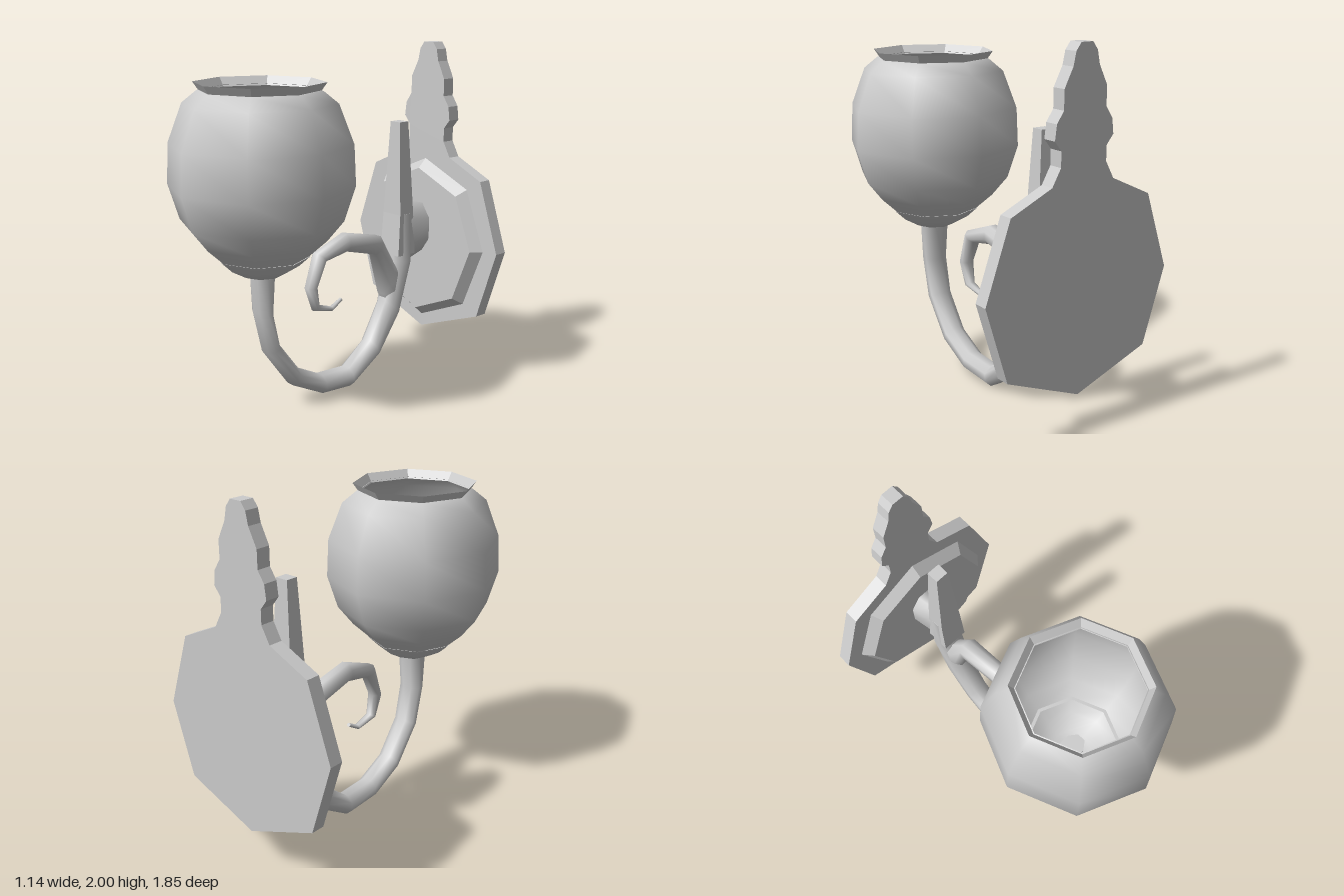
import * as THREE from 'three';

const smooth = new THREE.MeshStandardMaterial({ color: 0xcccccc, side: THREE.DoubleSide });
const flat = new THREE.MeshStandardMaterial({ color: 0xcccccc, side: THREE.DoubleSide, flatShading: true });

// Lofted bar in the z-y plane. Each row: outer z, y, inner z, y, half width in x.
function loft(rows, sides) {
  const pos = [], idx = [], k = 1 / Math.cos(Math.PI / sides);
  const ring = ([oz, oy, iz, iy, w]) => {
    const start = pos.length / 3;
    for (let i = 0; i < sides; i++) {
      const t = ((i + 0.5) * 2 * Math.PI) / sides;
      const c = (Math.cos(t) * k) / 2, s = Math.sin(t) * k;
      pos.push(w * s, (oy + iy) / 2 + (oy - iy) * c, (oz + iz) / 2 + (oz - iz) * c);
    }
    return start;
  };
  const rings = rows.map(ring);
  for (let r = 0; r < rings.length - 1; r++) {
    for (let i = 0; i < sides; i++) {
      const j = (i + 1) % sides, a = rings[r], b = rings[r + 1];
      idx.push(a + i, b + i, b + j, a + i, b + j, a + j);
    }
  }
  // End caps with their own vertices so their edges stay sharp
  const first = ring(rows[0]), last = ring(rows[rows.length - 1]);
  for (let i = 1; i < sides - 1; i++) {
    idx.push(first, first + i, first + i + 1, last, last + i + 1, last + i);
  }
  const g = new THREE.BufferGeometry();
  g.setAttribute('position', new THREE.Float32BufferAttribute(pos, 3));
  g.setIndex(idx);
  g.computeVertexNormals();
  return g;
}

export function createModel() {
  const group = new THREE.Group();
  const add = (name, geometry, material = smooth) => {
    const mesh = new THREE.Mesh(geometry, material);
    mesh.name = name;
    group.add(mesh);
    return mesh;
  };
  const lathe = (name, profile, material) => {
    const pts = profile.map(([r, y]) => new THREE.Vector2(r, y));
    add(name, new THREE.LatheGeometry(pts, 8), material).position.z = 0.43;
  };

  // Eight-sided glass globe, its flared rim and the cup that holds it
  lathe('globe', [[0.26, 0.93], [0.35, 1.01], [0.44, 1.12], [0.5, 1.31], [0.49, 1.53], [0.41, 1.74], [0.33, 1.805], [0.315, 1.81]]);
  lathe('globeRim', [[0.315, 1.80], [0.35, 1.85]], flat);
  lathe('cup', [[0, 0.82], [0.11, 0.82], [0.2, 0.87], [0.26, 0.925]]);
  lathe('cupLip', [[0.255, 0.925], [0.27, 0.94], [0.25, 0.94]], flat);

  // Arm swooping down from the cup and back up to the stem
  add('arm', loft([
    [0.492, 0.85, 0.37, 0.85, 0.08],
    [0.475, 0.61, 0.39, 0.6, 0.07],
    [0.42, 0.37, 0.34, 0.4, 0.067],
    [0.24, 0.13, 0.2, 0.22, 0.065],
    [0.02, 0.02, 0.02, 0.13, 0.065],
    [-0.2, 0.005, -0.19, 0.12, 0.065],
    [-0.42, 0.14, -0.36, 0.25, 0.067],
    [-0.59, 0.37, -0.48, 0.47, 0.072],
    [-0.685, 0.71, -0.54, 0.71, 0.08],
    [-0.665, 1.0, -0.555, 1.0, 0.072],
  ], 8));

  // Tapered square spike above the arm
  add('finial', loft([
    [-0.68, 0.75, -0.54, 0.75, 0.076],
    [-0.665, 1.0, -0.555, 1.0, 0.07],
    [-0.64, 1.55, -0.57, 1.55, 0.038],
  ], 4), flat);

  // Scroll curling forward from the stem
  add('scroll', loft([
    [-0.62, 0.7, -0.53, 0.42, 0.065],
    [-0.54, 0.72, -0.47, 0.52, 0.065],
    [-0.44, 0.885, -0.4, 0.78, 0.06],
    [-0.17, 0.945, -0.17, 0.84, 0.055],
    [0.05, 0.865, -0.01, 0.81, 0.047],
    [0.12, 0.67, 0.05, 0.67, 0.037],
    [0.07, 0.53, 0.03, 0.555, 0.027],
    [-0.07, 0.5, -0.07, 0.525, 0.018],
    [-0.15, 0.545, -0.14, 0.562, 0.012],
  ].map(([oz, oy, iz, iy, w]) => [oz, oy, iz, iy, w]), 8));

  // Boss joining the stem to the wall plate
  add('boss', loft([
    [-0.8, 1.035, -0.8, 0.75, 0.1],
    [-0.66, 1.07, -0.69, 0.71, 0.075],
    [-0.6, 1.03, -0.61, 0.72, 0.06],
  ], 8));

  // Wall plate: octagon with a stepped, narrowing crest, mirrored left to right
  const half = [[0.44, 0.4], [0.57, 0.81], [0.43, 1.22], [0.19, 1.33], [0.14, 1.42], [0.14, 1.5], [0.18, 1.55],
    [0.17, 1.63], [0.13, 1.69], [0.13, 1.79], [0.1, 1.85], [0.08, 1.89], [0.065, 1.96], [0.035, 2]];
  const outline = [[0, 0.23], ...half, ...half.map(([x, y]) => [-x, y]).reverse()];
  const shape = new THREE.Shape(outline.map(([x, y]) => new THREE.Vector2(x, y)));
  const plate = new THREE.ExtrudeGeometry(shape, { depth: 0.08, bevelEnabled: false });
  add('wallPlate', plate, flat).position.z = -0.92;

  // Raised bevelled panel on the plate
  const panel = new THREE.CylinderGeometry(0.42, 0.47, 0.06, 8);
  panel.scale(1, 1, 1.06).rotateX(Math.PI / 2);
  add('raisedPanel', panel, flat).position.set(0, 0.805, -0.81);

  return group;
}
